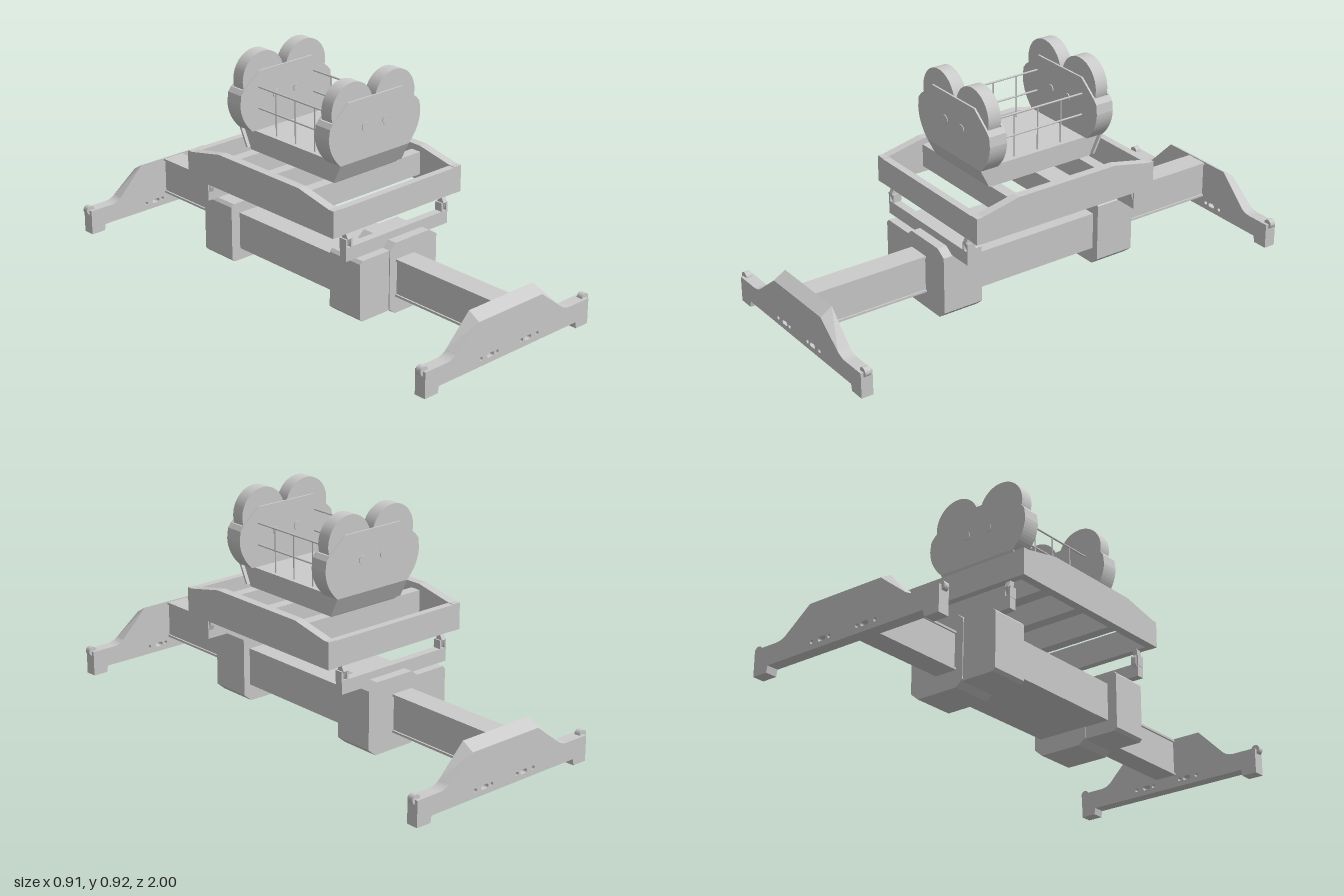
import * as THREE from 'three';

const mat = new THREE.MeshStandardMaterial({ color: 0xcccccc, flatShading: true });
const smooth = new THREE.MeshStandardMaterial({ color: 0xcccccc });

function add(parent, name, geo, x = 0, y = 0, z = 0, m = mat) {
  const mesh = new THREE.Mesh(geo, m);
  mesh.name = name;
  mesh.position.set(x, y, z);
  parent.add(mesh);
  return mesh;
}

// box given by its limits on each axis
function box(parent, name, x0, x1, y0, y1, z0, z1) {
  return add(parent, name, new THREE.BoxGeometry(x1 - x0, y1 - y0, z1 - z0),
    (x0 + x1) / 2, (y0 + y1) / 2, (z0 + z1) / 2);
}

const poly = (pts) => new THREE.Shape(pts.map(([x, y]) => new THREE.Vector2(x, y)));

function extrude(shape, z0, z1) {
  const g = new THREE.ExtrudeGeometry(shape, { depth: z1 - z0, bevelEnabled: false, curveSegments: 12 });
  return g.translate(0, 0, z0);
}

// rod along z
function rodZ(parent, name, r, x, y, z0, z1, seg = 24) {
  const g = new THREE.CylinderGeometry(r, r, z1 - z0, seg).rotateX(Math.PI / 2);
  return add(parent, name, g, x, y, (z0 + z1) / 2, smooth);
}

// rounded slot used for the openings of the end beam
function slot(cx, cy, half, r) {
  const p = new THREE.Path();
  p.absarc(cx + half, cy, r, -Math.PI / 2, Math.PI / 2, false);
  p.absarc(cx - half, cy, r, Math.PI / 2, Math.PI * 1.5, false);
  p.closePath();
  return p;
}

function endBeam() {
  const g = new THREE.Group();
  g.name = 'endBeam';
  const s = new THREE.Shape();
  s.moveTo(-0.44, 0);
  s.lineTo(-0.375, 0);
  s.lineTo(-0.37, 0.027);
  s.lineTo(0.37, 0.027);
  s.lineTo(0.375, 0);
  s.lineTo(0.44, 0);
  s.lineTo(0.44, 0.105);
  s.lineTo(0.335, 0.105);
  s.quadraticCurveTo(0.305, 0.106, 0.285, 0.125);
  s.lineTo(0.17, 0.24);
  s.lineTo(-0.17, 0.24);
  s.lineTo(-0.285, 0.125);
  s.quadraticCurveTo(-0.305, 0.106, -0.335, 0.105);
  s.lineTo(-0.44, 0.105);
  s.closePath();
  for (const x of [-0.152, -0.068, 0.065, 0.15]) {
    s.holes.push(new THREE.Path().absarc(x, 0.057, 0.008, 0, Math.PI * 2, true));
  }
  for (const x of [-0.103, 0.1]) s.holes.push(slot(x, 0.057, 0.009, 0.009));
  const geo = extrude(s, 0.95, 1);
  // lower the outer edge of the hump so its top slopes outwards
  const p = geo.attributes.position;
  for (let i = 0; i < p.count; i++) {
    const y = p.getY(i);
    if (p.getZ(i) > 0.99 && y > 0.105) p.setY(i, y - 0.03 * (y - 0.105) / 0.135);
  }
  geo.computeVertexNormals();
  add(g, 'beamBody', geo);
  for (const x of [-0.434, 0.434]) rodZ(g, 'cornerRoller', 0.019, x, 0.104, 0.963, 0.988);
  return g;
}

// telescopic arm: web with flanges
function arm() {
  const g = new THREE.Group();
  g.name = 'telescopicArm';
  box(g, 'armWeb', -0.042, 0.042, 0.085, 0.23, 0.4, 0.955);
  box(g, 'topFlange', -0.049, 0.049, 0.227, 0.236, 0.4, 0.955);
  box(g, 'bottomFlange', -0.049, 0.049, 0.08, 0.089, 0.4, 0.955);
  return g;
}

// collar around the main beam; offset to one side in x
function collar(z) {
  const g = new THREE.Group();
  g.name = 'beamCollar';
  const main = poly([[-0.05, 0.01], [0.135, 0.01], [0.155, 0.027], [0.17, 0.04], [0.17, 0.278],
    [0.13, 0.305], [-0.05, 0.305], [-0.08, 0.28], [-0.08, 0.035]]);
  add(g, 'collarBody', extrude(main, z - 0.087, z + 0.087));
  const side = poly([[-0.22, 0.03], [-0.075, 0.03], [-0.075, 0.28], [-0.22, 0.28], [-0.232, 0.268], [-0.232, 0.042]]);
  add(g, 'collarSideBox', extrude(side, z - 0.083, z + 0.083));
  return g;
}

// cross bar with the two clevis links that carry the upper frame
function hanger() {
  const g = new THREE.Group();
  g.name = 'hangerBar';
  box(g, 'crossBar', -0.27, 0.27, 0.28, 0.335, 0.383, 0.417);
  const link = poly([[0.385, 0.31], [0.41, 0.31], [0.405, 0.335], [0.42, 0.37], [0.405, 0.4],
    [0.385, 0.4], [0.39, 0.375], [0.376, 0.36], [0.376, 0.335]]);
  for (const s of [-1, 1]) {
    for (const dx of [-0.0125, 0.0125]) {
      box(g, 'clevisEar', s * 0.255 + dx - 0.004, s * 0.255 + dx + 0.004, 0.325, 0.37, 0.383, 0.417);
    }
    const geo = extrude(link, -0.01, 0.01).rotateY(-Math.PI / 2);
    add(g, 'link', geo, s * 0.255, 0, 0);
  }
  return g;
}

// cheek outline, lower right round to lower left
function cheekOutline() {
  const c = new THREE.QuadraticBezierCurve(new THREE.Vector2(0.18, 0.6),
    new THREE.Vector2(0.238, 0.655), new THREE.Vector2(0.24, 0.72)).getPoints(10);
  const right = [...c.map((v) => [v.x, v.y]), [0.235, 0.76], [0.22, 0.778]];
  return right;
}

// pair of cheek plates with two sheaves between them
function sheaveBlock() {
  const g = new THREE.Group();
  g.name = 'sheaveBlock';
  const right = cheekOutline();
  const left = right.map(([x, y]) => [-x, y]).reverse();
  const cheek = poly([...right, [0.14, 0.843], [-0.14, 0.843], ...left]);
  add(g, 'innerCheek', extrude(cheek, 0.212, 0.22));
  add(g, 'outerCheek', extrude(cheek, 0.282, 0.29));
  // curved guard at each end
  const inner = right.map(([x, y]) => [x - 0.008, y]).reverse();
  const guard = poly([...right, ...inner]);
  const mirrored = poly([...right, ...inner].map(([x, y]) => [-x, y]));
  add(g, 'endGuard', extrude(guard, 0.22, 0.282));
  add(g, 'endGuard', extrude(mirrored, 0.22, 0.282));
  box(g, 'guardFloor', -0.18, 0.18, 0.6, 0.608, 0.212, 0.29);
  for (const s of [-1, 1]) {
    const sheave = new THREE.CylinderGeometry(0.106, 0.106, 0.056, 48).rotateX(Math.PI / 2);
    add(g, 'sheave', sheave, s * 0.111, 0.809, 0.251, smooth);
    rodZ(g, 'sheavePin', 0.018, s * 0.054, 0.73, 0.208, 0.293);
  }
  return g;
}

// rectangular upper frame with raised side rails
function upperFrame() {
  const g = new THREE.Group();
  g.name = 'upperFrame';
  const rail = poly([[-0.42, 0.395], [0.42, 0.395], [0.42, 0.505], [0.395, 0.505],
    [0.23, 0.54], [-0.23, 0.54], [-0.395, 0.505], [-0.42, 0.505]]);
  for (const s of [-1, 1]) {
    add(g, 'sideRail', extrude(rail, -0.018, 0.018).rotateY(Math.PI / 2), s * 0.321, 0, 0);
    box(g, 'endRail', -0.305, 0.305, 0.396, 0.503, s * 0.405 - 0.015, s * 0.405 + 0.015);
  }
  for (const z of [-0.21, 0, 0.21]) box(g, 'crossMember', -0.305, 0.305, 0.42, 0.515, z - 0.023, z + 0.023);
  return g;
}

// tray joining the sheave blocks, with railings
function tray() {
  const g = new THREE.Group();
  g.name = 'tray';
  const section = poly([[-0.24, 0.515], [0.24, 0.515], [0.288, 0.6], [-0.288, 0.6]]);
  add(g, 'trayBody', extrude(section, -0.165, 0.165).rotateY(Math.PI / 2));
  for (const s of [-1, 1]) {
    // sloped end plate
    const plate = poly([[s * 0.243, 0.525], [s * 0.252, 0.525], [s * 0.29, 0.6], [s * 0.28, 0.6]]);
    add(g, 'endPlate', extrude(plate, -0.18, 0.18).rotateY(-Math.PI / 2));
    for (const y of [0.69, 0.778]) rodZ(g, 'railing', 0.004, s * 0.145, y, -0.215, 0.215, 8);
    for (const z of [-0.11, 0, 0.11]) {
      add(g, 'railingPost', new THREE.CylinderGeometry(0.003, 0.003, 0.18, 8), s * 0.145, 0.688, z, smooth);
    }
  }
  return g;
}

export function createModel() {
  const model = new THREE.Group();
  model.name = 'liftingSpreader';
  box(model, 'mainBeam', -0.19, 0.14, 0.08, 0.235, -0.3, 0.3);
  for (const s of [1, -1]) {
    for (const part of [endBeam(), arm(), hanger(), sheaveBlock()]) {
      if (s < 0) part.rotation.y = Math.PI;
      model.add(part);
    }
    model.add(collar(s * 0.37));
  }
  model.add(upperFrame(), tray());
  return model;
}
